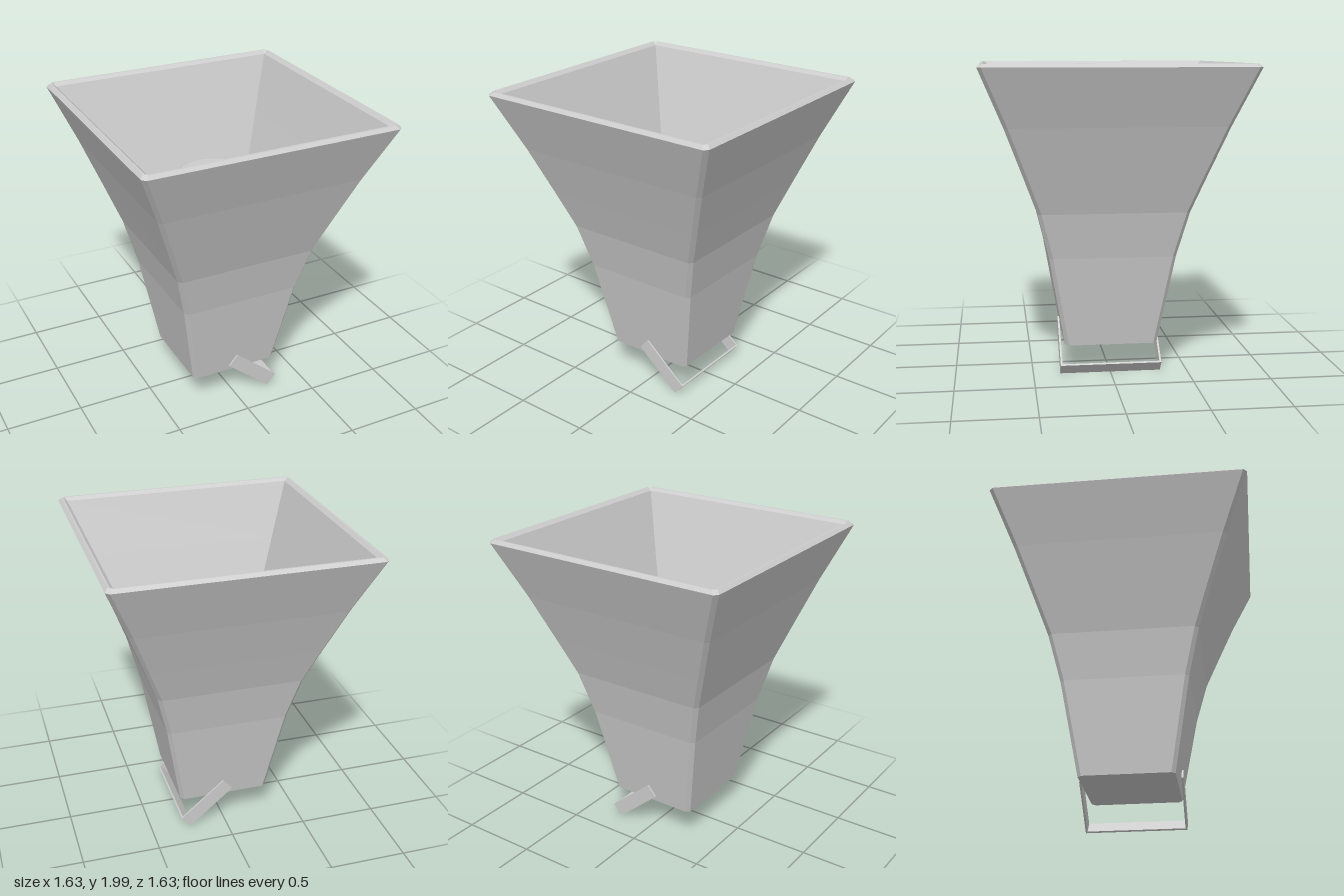
import * as THREE from 'three';

const grey = () => new THREE.MeshStandardMaterial({ color: 0xcccccc, flatShading: true });

// One horizontal section: a square of half-width h at height y, corners cut by c
function section([h, y, c]) {
  const k = h - c;
  return [[h, -k], [h, k], [k, h], [-k, h], [-h, k], [-h, -k], [-k, -h], [k, -h]]
    .map(([x, z]) => new THREE.Vector3(x, y, z));
}

// Skin a chain of sections, leaving out collapsed triangles
function loft(chain) {
  const loops = chain.map(section);
  const points = [];
  const tri = (a, b, c) => {
    const area = b.clone().sub(a).cross(c.clone().sub(a)).length();
    if (area > 1e-8) points.push(a, b, c);
  };
  for (let i = 0; i + 1 < loops.length; i++) {
    for (let j = 0; j < 8; j++) {
      const n = (j + 1) % 8;
      const [a, b, c, d] = [loops[i][j], loops[i][n], loops[i + 1][n], loops[i + 1][j]];
      tri(a, d, c);
      tri(a, c, b);
    }
  }
  const geometry = new THREE.BufferGeometry().setFromPoints(points);
  geometry.computeVertexNormals();
  return geometry;
}

export function createModel() {
  const model = new THREE.Group();
  const add = (name, geometry, parent = model) => {
    const mesh = new THREE.Mesh(geometry, grey());
    mesh.name = name;
    parent.add(mesh);
    return mesh;
  };

  // Flared square hopper: underside, outer wall, bevelled rim, inner wall, floor
  const flare = [[0.4, 0.8], [0.472, 1.09], [0.56, 1.33], [0.672, 1.63]];
  const cut = 0.024;
  const wall = 0.04;
  add('hopper', loft([
    [0, 0.21, 0],
    [0.297, 0.21, cut],
    ...flare.map(([h, y]) => [h, y, cut]),
    [0.817, 1.98, cut],
    [0.797, 2, cut],
    [0.785, 2, 0.015],
    [0.762, 1.98, 0],
    ...flare.map(([h, y]) => [h - wall, y, 0]).reverse(),
    [0.275, 0.31, 0],
    [0, 0.31, 0],
  ]));

  // Round column with a rounded top edge, standing inside the hopper
  const top = 1.545;
  const edge = 0.075;
  const profile = [new THREE.Vector2(0.273, 0.31)];
  for (let i = 0; i <= 4; i++) {
    const a = (i / 4) * Math.PI / 2;
    profile.push(new THREE.Vector2(0.198 + edge * Math.cos(a), top - edge + edge * Math.sin(a)));
  }
  profile.push(new THREE.Vector2(0, top));
  add('column', new THREE.LatheGeometry(profile, 32));

  // Tilted U-shaped strap below: two side arms and an end plate
  const strap = new THREE.Group();
  strap.name = 'strap';
  const length = 0.383;
  const width = 0.092;
  const thin = 0.012;
  for (const side of [1, -1]) {
    add('strapArm', new THREE.BoxGeometry(length, width, thin), strap)
      .position.z = side * (0.327 - thin / 2);
  }
  add('strapPlate', new THREE.BoxGeometry(thin, width, 0.654 - 2 * thin), strap)
    .position.x = (length - thin) / 2;
  strap.position.set(0.125, 0.168, 0);
  strap.rotation.z = -0.71;
  model.add(strap);

  return model;
}
